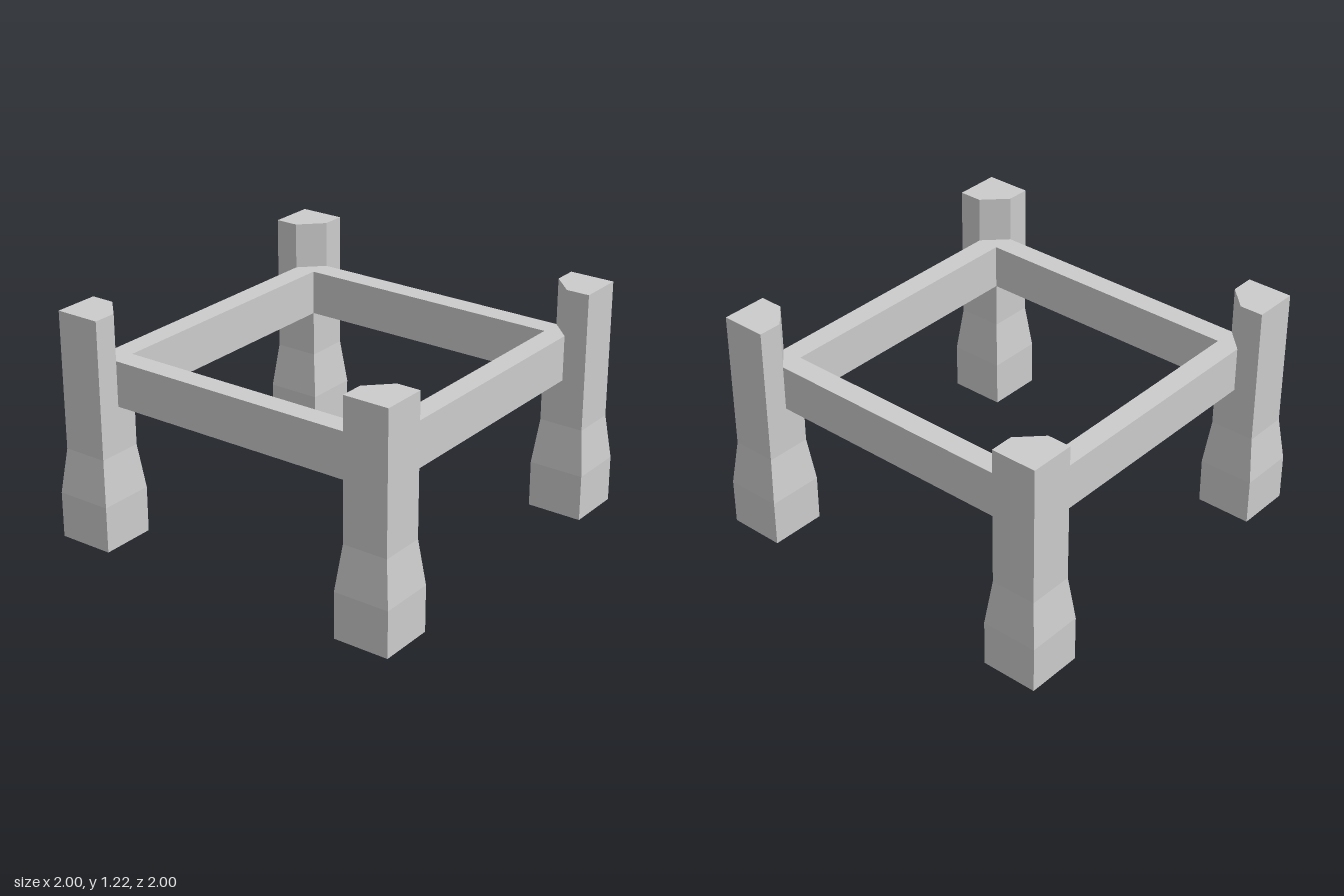
import * as THREE from 'three';

const IN = 0.728, RAIL_OUT = 0.845, LEG_OUT = 0.97; // plan distances from the centre lines
const RAIL_Y = 0.73, RAIL_TOP = 0.97, TOP = 1.215;

const material = new THREE.MeshStandardMaterial({ color: 0xcccccc, flatShading: true });
const v2 = (x, y) => new THREE.Vector2(x, y);
const square = (r) => [v2(-r, -r), v2(r, -r), v2(r, r), v2(-r, r)];

function part(name, geometry) {
  const mesh = new THREE.Mesh(geometry, material);
  mesh.name = name;
  return mesh;
}

// Extrudes a plan (x, z) outline so that it fills the heights y0 to y1
function slab(shape, y0, y1) {
  const geometry = new THREE.ExtrudeGeometry(shape, { depth: y1 - y0, bevelEnabled: false });
  return geometry.rotateX(Math.PI / 2).translate(0, y1, 0);
}

// One leg in the +x +z corner
function createLeg() {
  const leg = new THREE.Group();
  const foot = 0.15 * Math.SQRT2, post = (LEG_OUT - IN) / 2 * Math.SQRT2;

  // Square foot tapering into the post
  const profile = [v2(0, 0), v2(foot, 0), v2(foot, 0.245), v2(post, 0.485), v2(post, RAIL_TOP)];
  const lower = new THREE.LatheGeometry(profile, 4, Math.PI / 4);
  const c = (IN + LEG_OUT) / 2;
  lower.translate(c, 0, c);
  leg.add(part('footAndPost', lower));

  // Post end above the rails, with its inner corner cut off
  const plan = new THREE.Shape([
    v2(RAIL_OUT, IN), v2(LEG_OUT, IN), v2(LEG_OUT, LEG_OUT), v2(IN, LEG_OUT), v2(IN, RAIL_OUT),
  ]);
  leg.add(part('postTop', slab(plan, RAIL_TOP, TOP)));
  return leg;
}

export function createModel() {
  const model = new THREE.Group();
  model.name = 'tableFrame';

  // Four legs, turned about the centre
  const names = ['frontLeftLeg', 'backLeftLeg', 'backRightLeg', 'frontRightLeg'];
  names.forEach((name, i) => {
    const leg = createLeg();
    leg.name = name;
    leg.rotation.y = i * Math.PI / 2;
    model.add(leg);
  });

  // Square ring of rails
  const ring = new THREE.Shape(square(RAIL_OUT));
  ring.holes.push(new THREE.Path(square(IN)));
  model.add(part('railFrame', slab(ring, RAIL_Y, RAIL_TOP)));
  return model;
}
